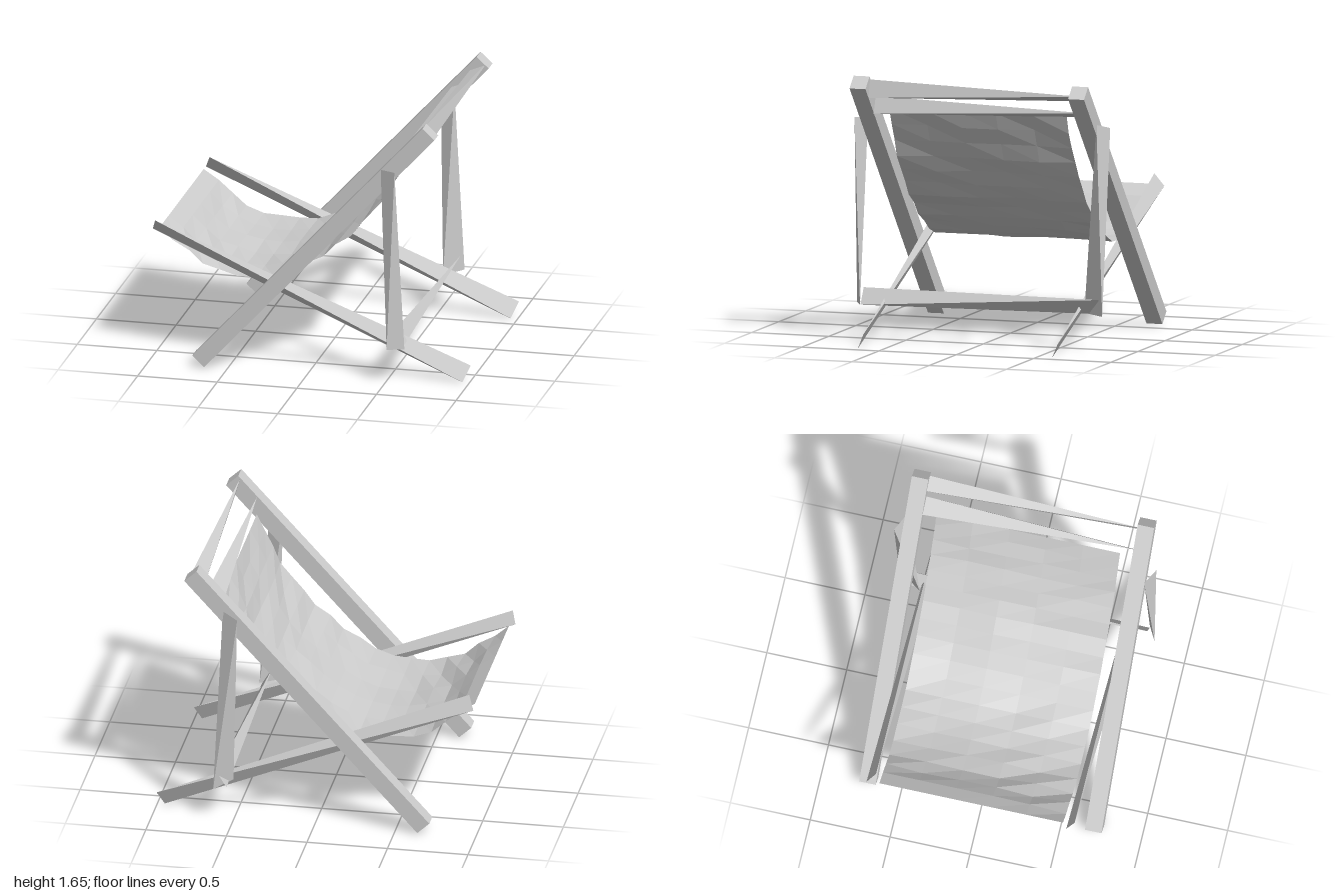
import * as THREE from 'three';
import { ConvexGeometry } from 'three/addons/geometries/ConvexGeometry.js';

export function createModel() {
  const chair = new THREE.Group();
  chair.name = 'deckChair';
  const grey = new THREE.MeshStandardMaterial({ color: 0xcccccc, flatShading: true, side: THREE.DoubleSide });
  grey.name = 'plainGrey';

  const add = (name, geometry) => {
    const mesh = new THREE.Mesh(geometry, grey);
    mesh.name = name;
    chair.add(mesh);
    return mesh;
  };
  // Faceted wooden bar: hull of two short edges, one at each end
  const bar = (name, ...corners) =>
    add(name, new ConvexGeometry(corners.map((c) => new THREE.Vector3(...c))));

  // Long back rails, leaning towards +x
  const low = new THREE.Vector2(-0.678, 0.05), high = new THREE.Vector2(0.768, 1.625);
  const lean = high.clone().sub(low);
  for (const [name, z] of [['backRailLeft', 0.707], ['backRailRight', -0.707]]) {
    const rail = add(name, new THREE.BoxGeometry(lean.length(), 0.102, 0.103));
    rail.position.set((low.x + high.x) / 2, (low.y + high.y) / 2, z);
    rail.rotation.z = lean.angle();
  }

  // Seat rails, twisted along their length
  bar('seatRailFront', [-0.975, 0.9, 0.65], [-1, 0.83, 0.603], [0.997, 0.105, 0.603], [0.955, 0.01, 0.653]);
  bar('seatRailRear', [-0.935, 0.9, -0.603], [-0.97, 0.82, -0.655], [0.997, 0.105, -0.655], [0.955, 0.01, -0.603]);

  // Prop legs
  bar('propLegFront', [0.468, 1.375, 0.757], [0.567, 1.38, 0.81], [0.518, 0.235, 0.81], [0.617, 0.23, 0.757]);
  bar('propLegRear', [0.468, 1.375, -0.81], [0.567, 1.405, -0.755], [0.518, 0.235, -0.66], [0.617, 0.23, -0.81]);

  // Crossbars
  bar('lowerCrossbar', [0.54, 0.33, 0.76], [0.6, 0.23, 0.76], [0.6, 0.33, -0.78], [0.54, 0.235, -0.78]);
  bar('topCrossbar', [0.72, 1.64, 0.66], [0.75, 1.53, 0.66], [0.685, 1.565, -0.75], [0.78, 1.605, -0.75]);
  bar('fabricCrossbar', [0.615, 1.525, 0.66], [0.655, 1.42, 0.66], [0.57, 1.45, -0.74], [0.685, 1.49, -0.74]);

  // Fabric sling: a sagging profile carried across, with small creases
  const curve = new THREE.SplineCurve([
    [-0.965, 0.83], [-0.85, 0.74], [-0.75, 0.665], [-0.65, 0.605], [-0.54, 0.57], [-0.4, 0.556],
    [-0.27, 0.567], [-0.12, 0.62], [0, 0.69], [0.1, 0.765], [0.2, 0.845], [0.3, 0.94],
    [0.4, 1.075], [0.48, 1.2], [0.6, 1.45],
  ].map(([x, y]) => new THREE.Vector2(x, y)));
  const columns = 5, rows = 18;
  let seed = 7;
  const random = () => (seed = (seed * 16807) % 2147483647) / 2147483647;
  const sling = new THREE.PlaneGeometry(1, 1, columns, rows);
  const pos = sling.attributes.position;
  for (let row = 0; row <= rows; row++) {
    const p = curve.getPointAt(1 - row / rows);
    const t = curve.getTangentAt(1 - row / rows);
    for (let col = 0; col <= columns; col++) {
      const inside = row > 0 && row < rows;
      const crease = inside ? (random() - 0.5) * 0.026 : 0;
      const z = -0.575 + (1.15 * col) / columns;
      pos.setXYZ(row * (columns + 1) + col, p.x - t.y * crease, p.y + t.x * crease, z);
    }
  }
  add('fabricSling', sling);

  return chair;
}
